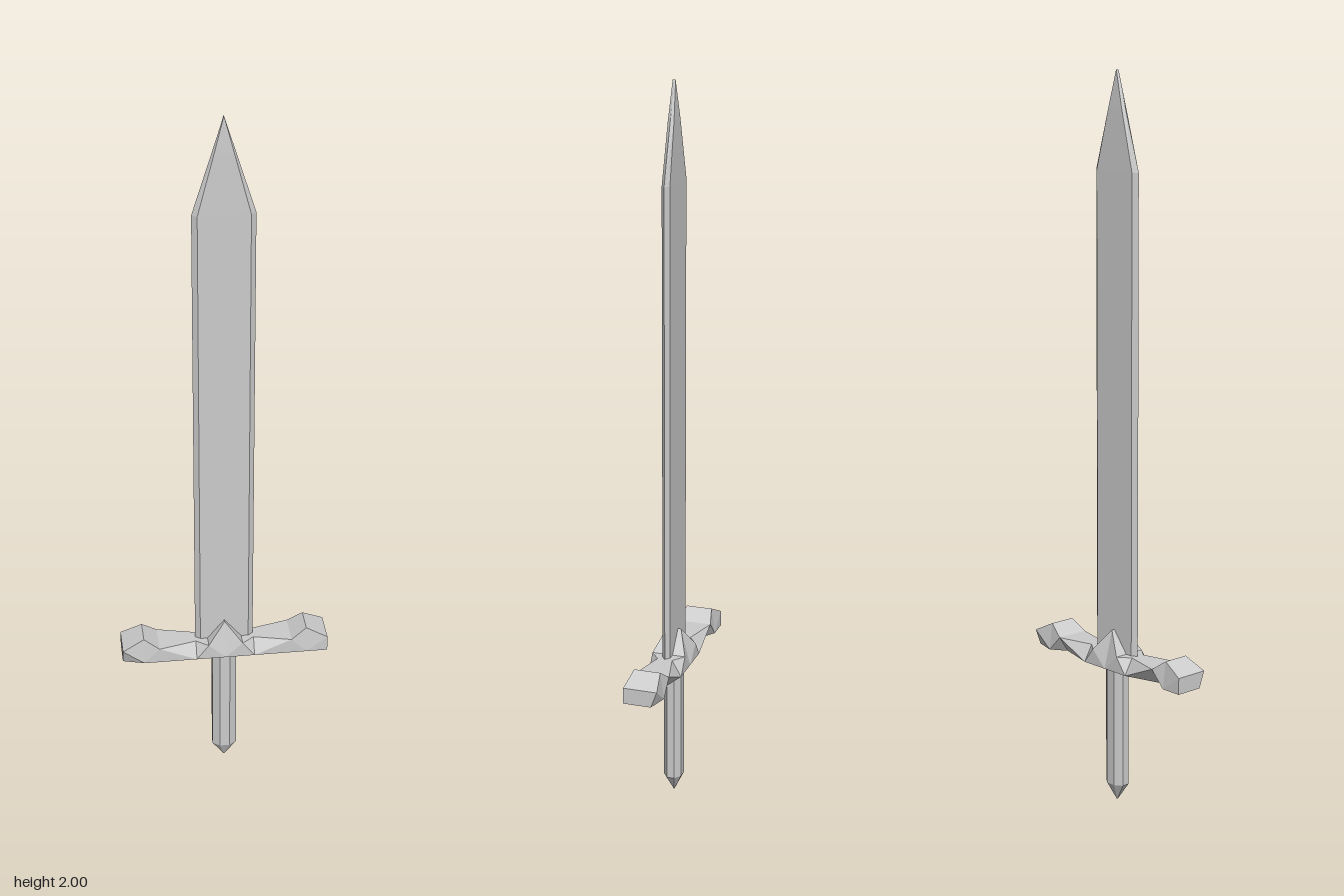
import * as THREE from 'three';

const material = new THREE.MeshStandardMaterial({ color: 0xcccccc, flatShading: true });

// Turns a list of corner vectors (three per face) into a flat-shaded mesh.
function facetMesh(name, corners) {
  const geometry = new THREE.BufferGeometry().setFromPoints(corners);
  geometry.computeVertexNormals();
  const mesh = new THREE.Mesh(geometry, material);
  mesh.name = name;
  return mesh;
}

// Skins horizontal rings that run counter-clockwise seen from above, bottom to top.
function loft(name, rings) {
  const out = [];
  const n = rings[0].length;
  for (let r = 0; r < rings.length - 1; r++) {
    for (let i = 0; i < n; i++) {
      const j = (i + 1) % n;
      const [a, b, c, d] = [rings[r][i], rings[r][j], rings[r + 1][j], rings[r + 1][i]];
      out.push(a, b, c, a, c, d);
    }
  }
  const last = rings[rings.length - 1], first = rings[0];
  for (let i = 1; i < n - 1; i++) {
    out.push(last[0], last[i], last[i + 1], first[0], first[i + 1], first[i]);
  }
  return facetMesh(name, out);
}

// Blade: flattened hexagon drawn to a point
function makeBlade() {
  const section = [[0.082, 0], [0.068, -0.011], [-0.068, -0.011], [-0.082, 0], [-0.068, 0.011], [0.068, 0.011]];
  const levels = [[0.4, 1, 1], [1.74, 1, 1], [1.9, 0.385, 0.75], [2, 0.005, 0.35]];
  return loft('blade', levels.map(([y, sx, sz]) =>
    section.map(([x, z]) => new THREE.Vector3(x * sx, y, z * sz))));
}

// Grip: eight-sided rod with a pointed end
function makeGrip() {
  const levels = [[0, 0.05], [0.05, 1], [0.41, 1]];
  return loft('grip', levels.map(([y, s]) =>
    Array.from({ length: 8 }, (_, i) => {
      const a = ((i + 0.5) / 8) * Math.PI * 2;
      return new THREE.Vector3(Math.cos(a) * 0.037 * s, y, -Math.sin(a) * 0.027 * s);
    })));
}

// Crossguard: faceted bar, flat below, with raised centre and ends
function makeGuard() {
  const base = 0.39, wide = 0.047;
  // x, top height, top half depth, bottom depth in front, bottom depth behind
  const half = [
    [0, 0.495, 0.02, wide, wide],
    [0.048, 0.435, wide, wide, wide],
    [0.082, 0.435, 0.021, wide, wide],
    [0.187, 0.435, wide, wide, 0.017],
    [0.23, 0.465, 0.037, wide, wide],
    [0.29, 0.435, wide, wide, 0.03],
  ];
  const left = half.slice(1).reverse().map(([x, y, t, f, b]) => [-x, y, t, f, b]);
  // The two ends are cut back on opposite sides
  left[0][3] = 0.03;
  left[0][4] = wide;
  const stations = [...left, ...half].map(([x, y, t, f, b]) => ({
    depth: t,
    topFront: new THREE.Vector3(x, y, t),
    topBack: new THREE.Vector3(x, y, -t),
    lowFront: new THREE.Vector3(x, base, f),
    lowBack: new THREE.Vector3(x, base, -b),
  }));

  const out = [];
  // Corners counter-clockwise; the fold runs a-c, or b-d when flipped
  const quad = (a, b, c, d, flip = false) => {
    if (flip) out.push(a, b, d, b, c, d);
    else out.push(a, b, c, a, c, d);
  };
  for (let i = 0; i < stations.length - 1; i++) {
    const p = stations[i], q = stations[i + 1];
    const foldFromP = p.depth > q.depth;
    quad(p.lowFront, q.lowFront, q.topFront, p.topFront, foldFromP);
    quad(q.lowBack, p.lowBack, p.topBack, q.topBack, !foldFromP);
    quad(p.topFront, q.topFront, q.topBack, p.topBack);
    quad(p.lowBack, q.lowBack, q.lowFront, p.lowFront);
  }
  const s = stations[0], e = stations[stations.length - 1];
  quad(s.lowBack, s.lowFront, s.topFront, s.topBack);
  quad(e.lowFront, e.lowBack, e.topBack, e.topFront);
  return facetMesh('crossguard', out);
}

export function createModel() {
  const sword = new THREE.Group();
  sword.name = 'sword';
  sword.add(makeBlade(), makeGuard(), makeGrip());
  return sword;
}
